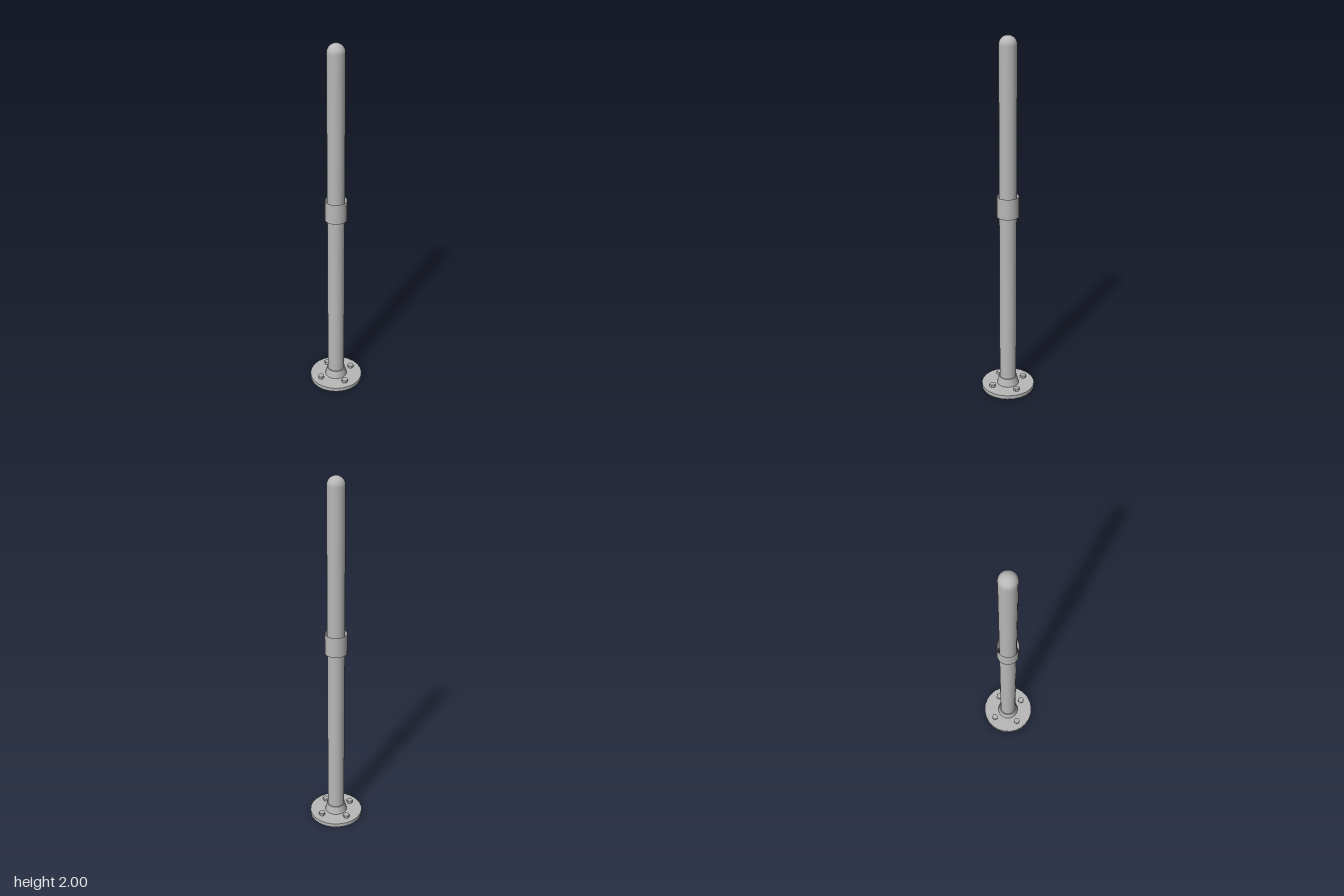
import * as THREE from 'three';

export function createModel() {
  const group = new THREE.Group();
  group.name = 'postWithFlange';
  const steel = new THREE.MeshStandardMaterial({ color: 0xb8b8b8 });
  steel.name = 'galvanisedSteel';
  const sleeveSteel = steel.clone();
  sleeveSteel.name = 'sleeveSteel';
  sleeveSteel.side = THREE.DoubleSide;

  const add = (name, geometry, x, y, z, material = steel) => {
    const mesh = new THREE.Mesh(geometry, material);
    mesh.name = name;
    mesh.position.set(x, y, z);
    group.add(mesh);
    return mesh;
  };

  const R = 0.047;       // pole radius
  const plateTop = 0.022;

  // Round base plate
  add('basePlate', new THREE.CylinderGeometry(0.15, 0.15, plateTop, 24), 0, plateTop / 2, 0);

  // Tapered socket at the foot of the pole
  add('baseSocket', new THREE.CylinderGeometry(0.052, 0.062, 0.045, 24), 0, plateTop + 0.0225, 0);

  // Pole with a rounded tip
  const poleTop = 2 - R;
  add('pole', new THREE.CylinderGeometry(R, R, poleTop - plateTop, 24, 1, true), 0, (poleTop + plateTop) / 2, 0);
  add('poleTip', new THREE.SphereGeometry(R, 24, 10, 0, Math.PI * 2, 0, Math.PI / 2), 0, poleTop, 0);

  // Open sleeve around the middle joint
  add('sleeve', new THREE.CylinderGeometry(0.06, 0.06, 0.115, 24, 1, true), 0, 1.1025, 0, sleeveSteel);

  // Four hexagonal bolts
  for (const x of [-0.071, 0.071]) {
    for (const z of [-0.071, 0.071]) {
      const bolt = add('bolt', new THREE.CylinderGeometry(0.018, 0.018, 0.016, 6), x, plateTop + 0.008, z);
      bolt.rotation.y = Math.PI / 2;
      bolt.geometry = bolt.geometry.toNonIndexed();
      bolt.geometry.computeVertexNormals();
    }
  }
  return group;
}
